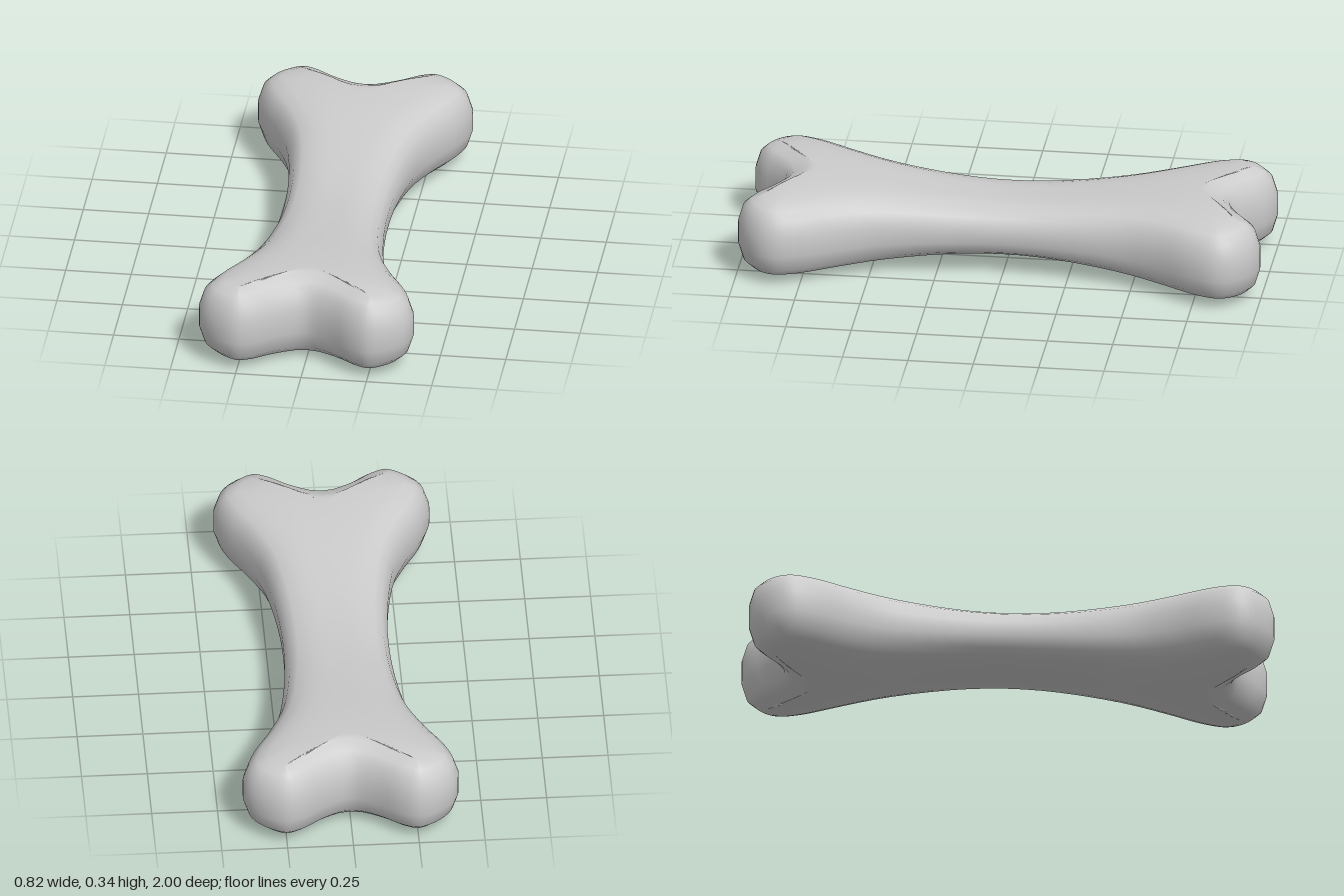
import * as THREE from 'three';
import { mergeVertices } from 'three/addons/utils/BufferGeometryUtils.js';

const MID_Y = 0.17;   // height of the middle plane
const COLS = 144;     // samples around the outline

// Plan outline of one quarter, from the waist round the knob to the end notch (x, z)
const QUARTER = [
  [0.2, 0], [0.211, 0.22], [0.25, 0.46], [0.31, 0.61], [0.38, 0.74], [0.41, 0.84],
  [0.39, 0.91], [0.325, 0.972], [0.25, 0.998], [0.18, 0.972], [0.09, 0.905], [0, 0.867],
];

// Edge rounding: inset from the outline, share of the local thickness
const EDGE = [[0.092, 0.95], [0.05, 0.85], [0.02, 0.68], [0, 0.27]];
// Cap: how far towards the central spine, share of the local thickness
const CAP = [[1, 1], [0.75, 1], [0.5, 0.998], [0.25, 0.985]];

// Half thickness: thin at the waist, thick at the knobs, slightly domed across
function halfThickness(x, z) {
  const a = Math.min(Math.abs(z) / 0.85, 1) * Math.PI;
  return (0.105 + 0.0325 * (1 - Math.cos(a))) * (1 - 0.8 * x * x);
}

// Mirror the quarter into a closed smooth curve
function outlineCurve() {
  const half = [...QUARTER, ...QUARTER.slice(0, -1).reverse().map(([x, z]) => [-x, z])];
  const full = [...half, ...half.slice(1, -1).reverse().map(([x, z]) => [x, -z])];
  return new THREE.CatmullRomCurve3(full.map(([x, z]) => new THREE.Vector3(x, 0, z)), true, 'centripetal');
}

function boneGeometry() {
  const curve = outlineCurve();
  const top = [
    ...CAP.map(([t, f]) => ({ inset: EDGE[0][0], t, f })),
    ...EDGE.map(([inset, f]) => ({ inset, t: 0, f })),
  ];
  const rows = [...top, ...top.slice().reverse().map((r) => ({ ...r, f: -r.f }))];

  const positions = [];
  const indices = [];
  rows.forEach(({ inset, t, f }, r) => {
    for (let c = 0; c < COLS; c++) {
      const p = curve.getPoint(c / COLS);
      const d = curve.getTangent(c / COLS);
      // move inwards from the outline, then towards the spine
      let x = p.x - d.z * inset;
      let z = p.z + d.x * inset;
      const spineZ = THREE.MathUtils.clamp(z, -0.72, 0.72);
      x *= 1 - t;
      z += (spineZ - z) * t;
      positions.push(x, MID_Y + f * halfThickness(x, z), z);

      if (r < rows.length - 1) {
        const n = (c + 1) % COLS;
        const a = r * COLS + c, b = r * COLS + n;
        indices.push(a, b, a + COLS, b, b + COLS, a + COLS);
      }
    }
  });

  let geometry = new THREE.BufferGeometry();
  geometry.setAttribute('position', new THREE.Float32BufferAttribute(positions, 3));
  geometry.setIndex(indices);
  geometry = mergeVertices(geometry, 1e-3); // weld the spine
  geometry.computeVertexNormals();
  return geometry;
}

export function createModel() {
  const group = new THREE.Group();
  group.name = 'bone';
  const body = new THREE.Mesh(boneGeometry(), new THREE.MeshStandardMaterial({ color: 0xcccccc }));
  body.name = 'boneBody';
  group.add(body);
  return group;
}
